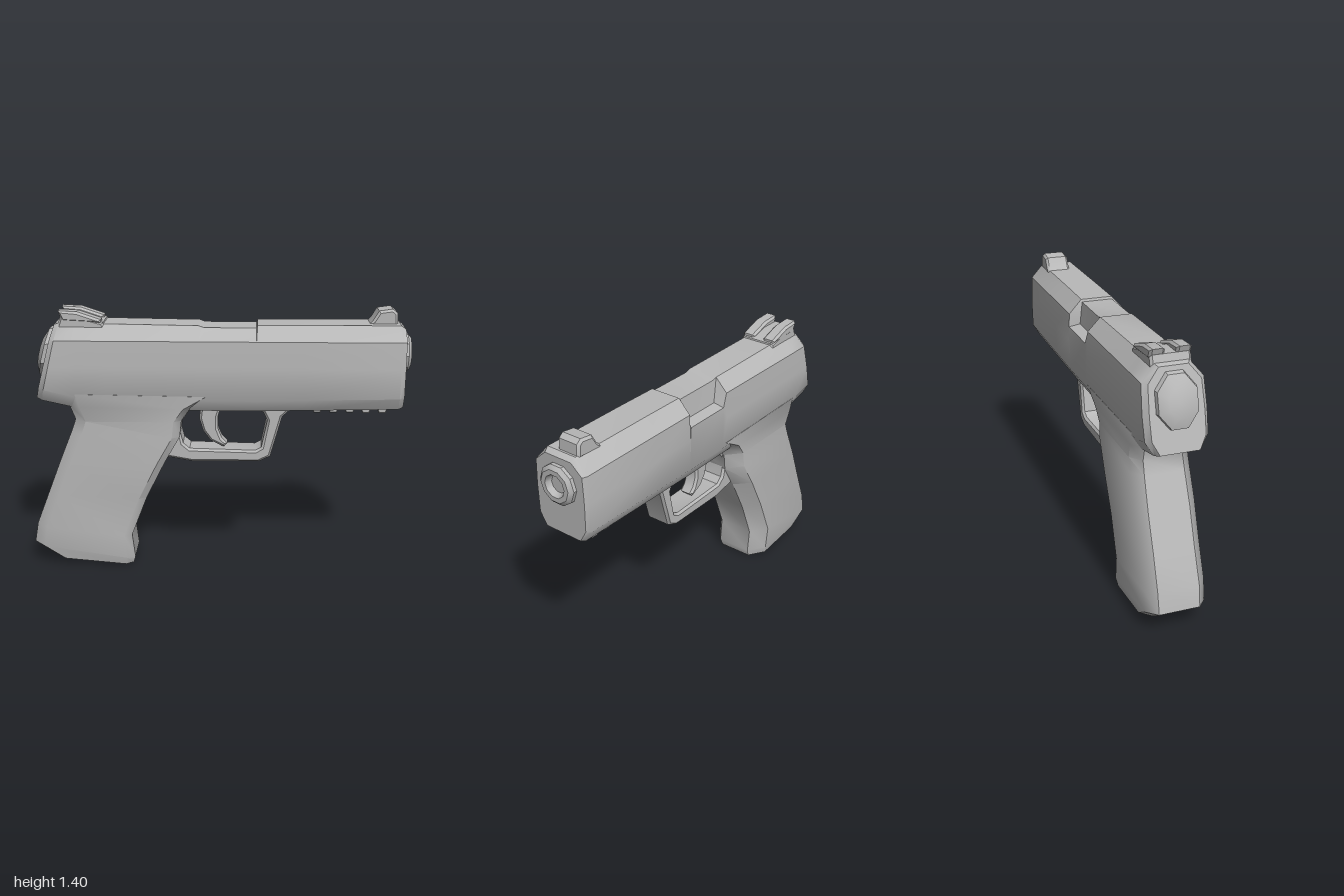
import * as THREE from 'three';
import { toCreasedNormals } from 'three/addons/utils/BufferGeometryUtils.js';

const metal = new THREE.MeshStandardMaterial({ color: 0xb8b8b8 });
metal.name = 'grey';

// Skin a list of equal-length rings and close both ends with fans
function loft(rings, crease = 0.6) {
  const n = rings[0].length, pos = rings.flat(2), index = [];
  for (let r = 0; r < rings.length - 1; r++) {
    for (let i = 0; i < n; i++) {
      const a = r * n + i, b = r * n + (i + 1) % n;
      index.push(a, b, b + n, a, b + n, a + n);
    }
  }
  [0, rings.length - 1].forEach((r, end) => {
    const c = pos.length / 3;
    for (let k = 0; k < 3; k++) pos.push(rings[r].reduce((s, p) => s + p[k], 0) / n);
    for (let i = 0; i < n; i++) {
      const a = r * n + i, b = r * n + (i + 1) % n;
      if (end) index.push(c, a, b); else index.push(c, b, a);
    }
  });
  // Signed volume decides which way the corners must run
  let volume = 0;
  const v = [0, 1, 2].map(() => new THREE.Vector3());
  for (let i = 0; i < index.length; i += 3) {
    v.forEach((p, k) => p.fromArray(pos, index[i + k] * 3));
    volume += v[0].dot(v[1].clone().cross(v[2]));
  }
  if (volume < 0) index.reverse();
  const g = new THREE.BufferGeometry();
  g.setAttribute('position', new THREE.Float32BufferAttribute(pos, 3));
  g.setIndex(index);
  return toCreasedNormals(g, crease);
}

// Side outline pushed out across z with a small bevel
function plate(outline, width, hole, bevel = 0.012) {
  const pts = (list) => list.map(([x, y]) => new THREE.Vector2(x, y));
  const shape = new THREE.Shape(pts(outline));
  if (hole) shape.holes.push(new THREE.Path(pts(hole)));
  const g = new THREE.ExtrudeGeometry(shape, {
    depth: width - 2 * bevel, bevelEnabled: true, bevelSize: bevel,
    bevelOffset: -bevel, bevelThickness: bevel, bevelSegments: 1,
  });
  g.translate(0, 0, -width / 2 + bevel);
  return toCreasedNormals(g, 0.6);
}

// One slide section: bottom height, top height, width factor, rearward lean, port cut
function slideRing(x, bottom, top, w = 1, lean = 0, port = false) {
  const half = [[bottom, 0.115], [bottom + 0.065, 0.155], [1.12, 0.158], [1.26, 0.152], [top, 0.085]];
  const left = half.map(([y, z]) => [y, z * w]);
  const right = half.map(([y, z]) => [y, -z * w]);
  if (port) { right[2] = [1.19, -0.157]; right[3] = [1.2, -0.095]; right[4] = [top, -0.082]; }
  return [...left, ...right.reverse()].map(([y, z]) => [x + lean * (y - bottom), y, z]);
}

// One grip section between a back point and a front point, with cut corners
function gripRing([xb, yb, xf, yf, w]) {
  const s = [[0.06, w], [0, w - 0.05], [0, -w + 0.05], [0.06, -w]];
  const f = [[-0.08, -w], [0, -0.08], [0, w - 0.035], [-0.04, w]];
  const at = (x, z) => [x, yb + (yf - yb) * (x - xb) / (xf - xb), z];
  return [...s.map(([d, z]) => at(xb + d, z)), ...f.map(([d, z]) => at(xf + d, z))];
}

export function createModel() {
  const model = new THREE.Group();
  const add = (name, geometry, x = 0, y = 0, z = 0) => {
    const mesh = new THREE.Mesh(geometry, metal);
    mesh.name = name;
    mesh.position.set(x, y, z);
    model.add(mesh);
    return mesh;
  };

  // Slide and frame, with a cut for the ejection port on the -z side
  add('slide', loft([
    slideRing(-0.95, 0.945, 1.33, 0.85, 0.27),
    slideRing(-0.92, 0.935, 1.34, 1, 0.25),
    slideRing(-0.76, 0.9, 1.34, 1, 0.12),
    slideRing(-0.58, 0.885, 1.337),
    slideRing(-0.1, 0.885, 1.33),
    slideRing(-0.07, 0.885, 1.32, 1, 0, true),
    slideRing(0.2, 0.885, 1.32, 1, 0, true),
    slideRing(0.205, 0.885, 1.333),
    slideRing(0.45, 0.89, 1.335),
    slideRing(0.94, 0.9, 1.335),
    slideRing(0.965, 0.91, 1.315, 0.93),
  ]));

  // Domed plate closing the rear of the slide
  const dome = (x, r) => Array.from({ length: 8 }, (_, i) => {
    const a = (i + 0.5) * Math.PI / 4, y = Math.sin(a) * r;
    return [x + y * 0.27, 1.18 + y, Math.cos(a) * r * 0.8];
  });
  add('rearPlate', loft([dome(-0.84, 0.15), dome(-0.91, 0.13), dome(-0.935, 0.07)]));

  // Grip, flaring forward into the frame
  add('grip', loft([
    [-0.89, 0.05, -0.46, 0.012, 0.145],
    [-1.0, 0.13, -0.45, 0.05, 0.155],
    [-0.98, 0.24, -0.465, 0.18, 0.157],
    [-0.91, 0.42, -0.38, 0.4, 0.155],
    [-0.84, 0.6, -0.28, 0.6, 0.156],
    [-0.775, 0.76, -0.2, 0.74, 0.152],
    [-0.75, 0.83, -0.19, 0.83, 0.15],
    [-0.78, 0.91, -0.14, 0.9, 0.155],
    [-0.8, 0.98, -0.02, 0.97, 0.157],
  ].map(gripRing), 0.75));

  // Trigger guard loop and trigger
  add('triggerGuard', plate(
    [[-0.2, 0.92], [-0.34, 0.62], [-0.26, 0.61], [-0.13, 0.587], [0.22, 0.59], [0.28, 0.62],
      [0.34, 0.84], [0.38, 0.88], [0.46, 0.92]],
    0.15,
    [[-0.2, 0.8], [-0.2, 0.75], [-0.185, 0.69], [-0.15, 0.66], [0.2, 0.652], [0.232, 0.67],
      [0.262, 0.82], [0.24, 0.865], [0.2, 0.885], [-0.14, 0.885]]));
  add('trigger', plate(
    [[-0.09, 0.9], [0.02, 0.9], [0, 0.83], [0.0, 0.76], [0.02, 0.71], [0.05, 0.68], [0.03, 0.66],
      [-0.04, 0.695], [-0.08, 0.75], [-0.1, 0.82]], 0.08));

  // Accessory rail teeth under the front
  for (let i = 0; i < 5; i++) {
    const x = 0.52 + i * 0.085;
    add('railTooth', plate([[x - 0.03, 0.91], [x - 0.018, 0.875], [x + 0.018, 0.875], [x + 0.03, 0.91]], 0.2, null, 0.004));
  }

  // Barrel end: a lathed ring with a recessed bore
  const muzzle = new THREE.LatheGeometry(
    [[0.105, 0], [0.105, 0.02], [0.085, 0.037], [0.06, 0.037], [0.045, 0.008], [0, 0.008]]
      .map(([r, y]) => new THREE.Vector2(r, y)), 10);
  muzzle.rotateZ(-Math.PI / 2);
  add('muzzle', toCreasedNormals(muzzle, 0.6), 0.963, 1.18, 0);

  // Rear sight: ramp base with two ears around the notch
  add('rearSightBase', plate([[-0.83, 1.31], [-0.81, 1.375], [-0.7, 1.375], [-0.59, 1.345], [-0.58, 1.31]], 0.2));
  for (const z of [-0.065, 0.065]) {
    add('rearSightEar', plate([[-0.8, 1.35], [-0.82, 1.405], [-0.72, 1.4], [-0.6, 1.36], [-0.6, 1.34]], 0.075), 0, 0, z);
  }

  // Front sight
  add('frontSight', plate([[0.77, 1.32], [0.8, 1.35], [0.83, 1.4], [0.9, 1.41], [0.925, 1.39], [0.93, 1.32]], 0.13), 0, 0, -0.03);

  return model;
}
